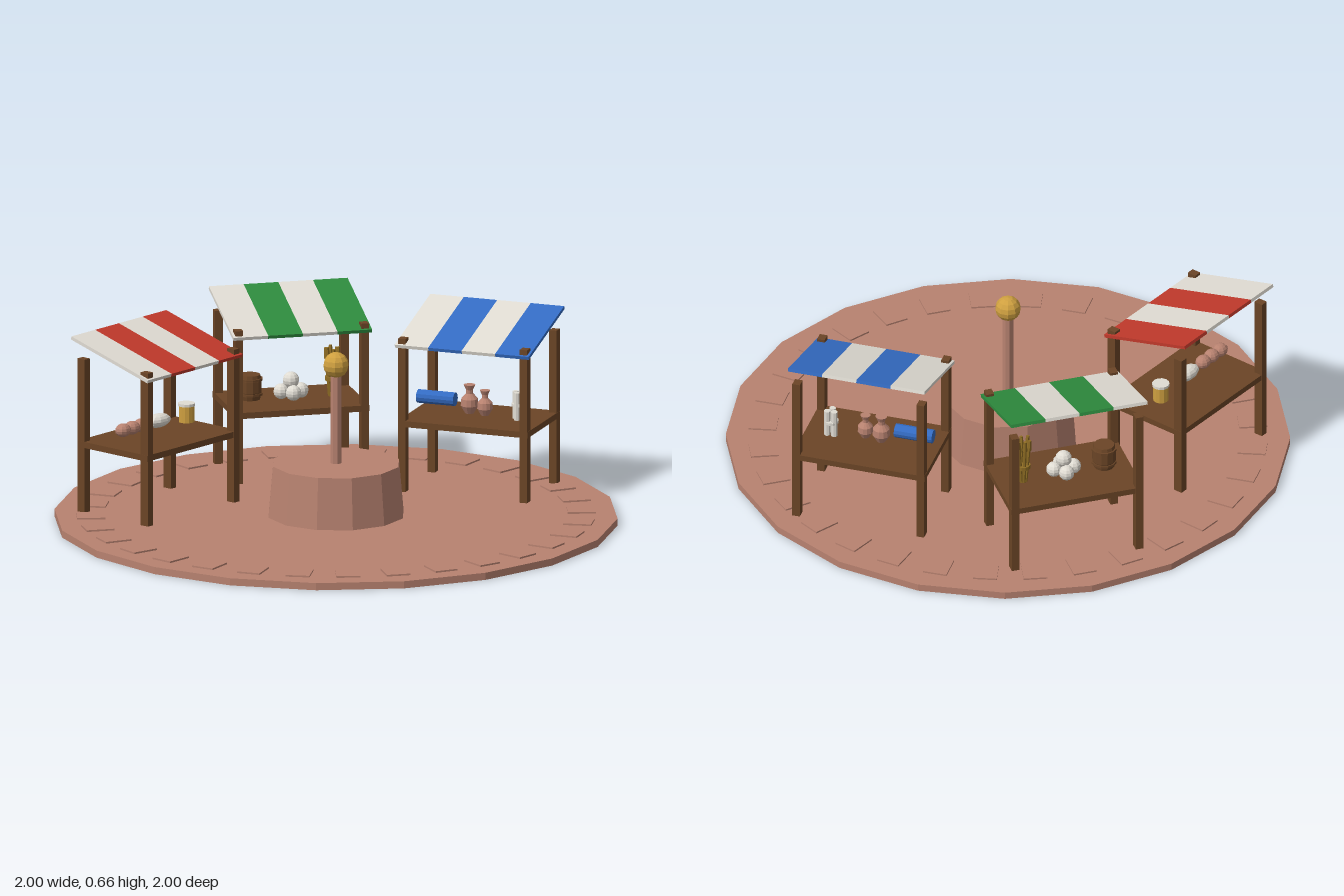
import * as THREE from 'three';

const mat = (name, color) => {
  const m = new THREE.MeshStandardMaterial({ color, flatShading: true });
  m.name = name;
  return m;
};

export function createModel() {
  const clay = mat('clay', 0xb88270);
  const wood = mat('wood', 0x6b4526);
  const white = mat('white', 0xe0dcd3);
  const red = mat('red', 0xc0392b);
  const green = mat('green', 0x2e8b3e);
  const blue = mat('blue', 0x346cc4);
  const gold = mat('gold', 0xcfa040);
  const straw = mat('straw', 0x8f6d24);

  const model = new THREE.Group();
  model.name = 'marketSquare';

  const add = (parent, name, geometry, material, x = 0, y = 0, z = 0) => {
    const mesh = new THREE.Mesh(geometry, material);
    mesh.name = name;
    mesh.position.set(x, y, z);
    parent.add(mesh);
    return mesh;
  };
  const group = (parent, name, x, y, z) => {
    const g = new THREE.Group();
    g.name = name;
    g.position.set(x, y, z);
    parent.add(g);
    return g;
  };
  const box = (w, h, d) => new THREE.BoxGeometry(w, h, d);
  const cyl = (top, bottom, h, n = 12) => new THREE.CylinderGeometry(top, bottom, h, n);
  const ball = (r) => new THREE.SphereGeometry(r, 10, 8);
  const lathe = (points, n = 12) =>
    new THREE.LatheGeometry(points.map(([r, y]) => new THREE.Vector2(r, y)), n);

  // Paved ground with a ring of raised stones
  add(model, 'ground', cyl(1, 1, 0.026, 20), clay, 0, 0.013, 0);
  const stones = group(model, 'pavingStones', 0, 0, 0);
  const count = 32;
  for (let i = 0; i < count; i++) {
    const a = (i / count) * Math.PI * 2;
    const stone = add(stones, 'pavingStone', box(0.085, 0.012, 0.1), clay,
      Math.sin(a) * 0.87, 0.026, Math.cos(a) * 0.87);
    stone.rotation.y = a;
  }

  // Central plinth, pole and ball
  add(model, 'plinth', cyl(0.23, 0.247, 0.19), clay, 0, 0.117, 0);
  add(model, 'pole', cyl(0.02, 0.02, 0.34, 8), clay, 0, 0.37, 0);
  add(model, 'poleBall', ball(0.046), gold, 0, 0.57, 0);

  // Stall frame with a striped sloping awning
  const makeStall = (name, stripe, x, z, turn) => {
    const stall = group(model, name, x, 0, z);
    stall.rotation.y = turn;
    for (const sx of [-1, 1]) {
      for (const sz of [-1, 1]) {
        add(stall, 'post', box(0.028, 0.565, 0.034), wood, sx * 0.23, 0.3025, sz * 0.15);
      }
    }
    add(stall, 'tableTop', box(0.49, 0.022, 0.33), wood, 0, 0.274, 0);
    const awning = group(stall, 'awning', 0, 0.608, -0.0075);
    awning.rotation.x = 0.268;
    for (let i = 0; i < 4; i++) {
      add(awning, 'awningStripe', box(0.1265, 0.012, 0.376), i % 2 ? stripe : white,
        (i - 1.5) * 0.1265, 0, 0);
    }
    return stall;
  };
  const redStall = makeStall('redStall', red, -0.585, -0.255, 0.6);
  const greenStall = makeStall('greenStall', green, 0, -0.66, 0);
  const blueStall = makeStall('blueStall', blue, 0.585, -0.255, -0.6);
  const slot = (stall, name, i) => group(stall, name, i * 0.15, 0.34, 0);

  // Red stall: sausages, loaf and a capped jar
  const sausages = slot(redStall, 'sausages', -1);
  for (let i = -1; i <= 1; i++) {
    add(sausages, 'sausage', ball(0.027), clay, i * 0.048 + 0.01, 0, 0).scale.set(1.15, 0.9, 1);
  }
  const loaf = slot(redStall, 'loaf', 0);
  add(loaf, 'loafBody', ball(0.026), white).scale.set(2.2, 0.95, 1.2);
  const jar = slot(redStall, 'jar', 1);
  add(jar, 'jarBody', cyl(0.028, 0.028, 0.06), gold, 0, -0.003, 0);
  add(jar, 'jarLid', cyl(0.031, 0.031, 0.01), white, 0, 0.031, 0);

  // Green stall: barrel, heap of balls and a straw sheaf
  const barrel = slot(greenStall, 'barrel', -1);
  add(barrel, 'barrelBody', lathe([[0, -0.048], [0.037, -0.048], [0.043, -0.02],
    [0.043, 0.02], [0.037, 0.042], [0, 0.042]]), wood);
  for (const y of [-0.028, 0.026]) add(barrel, 'barrelHoop', cyl(0.046, 0.046, 0.008), wood, 0, y, 0);
  const heap = slot(greenStall, 'heap', 0);
  for (let i = 0; i < 4; i++) {
    const a = (i / 4) * Math.PI * 2;
    add(heap, 'heapBall', ball(0.028), white, Math.sin(a) * 0.036, -0.027, Math.cos(a) * 0.036);
  }
  add(heap, 'heapBall', ball(0.03), white, 0, 0.012, 0);
  const sheaf = slot(greenStall, 'sheaf', 1);
  for (let i = 0; i < 6; i++) {
    const a = (i / 6) * Math.PI * 2;
    const stalk = group(sheaf, 'stalk', Math.sin(a) * 0.014, 0, Math.cos(a) * 0.014);
    stalk.rotation.set(Math.cos(a) * 0.08, 0, -Math.sin(a) * 0.08);
    add(stalk, 'stem', cyl(0.006, 0.006, 0.19, 6), straw, 0, -0.005, 0);
    add(stalk, 'ear', cyl(0.006, 0.009, 0.04, 6), straw, 0, 0.1 + (i % 2) * 0.006, 0);
  }
  add(sheaf, 'sheafBand', cyl(0.026, 0.026, 0.014), straw, 0, 0.01, 0);

  // Blue stall: cloth roll, clay pots and tied candles
  const roll = slot(blueStall, 'clothRoll', -1);
  add(roll, 'roll', cyl(0.025, 0.025, 0.14), blue, -0.005, 0, 0.01).rotation.z = Math.PI / 2;
  const pots = slot(blueStall, 'pots', 0);
  const profile = [[0, -0.048], [0.016, -0.048], [0.032, -0.02], [0.03, 0.005],
    [0.013, 0.024], [0.013, 0.038], [0.021, 0.056], [0, 0.056]];
  add(pots, 'pot', lathe(profile), clay, -0.035, 0, 0);
  add(pots, 'smallPot', lathe(profile), clay, 0.027, -0.006, 0.01).scale.setScalar(0.88);
  const candles = slot(blueStall, 'candles', 1);
  for (let i = 0; i < 3; i++) {
    const a = (i / 3) * Math.PI * 2;
    add(candles, 'candle', cyl(0.012, 0.012, 0.1, 8), white, Math.sin(a) * 0.015, -0.004, Math.cos(a) * 0.015);
  }
  add(candles, 'candleBand', cyl(0.026, 0.026, 0.009), white, 0, 0, 0);

  return model;
}
